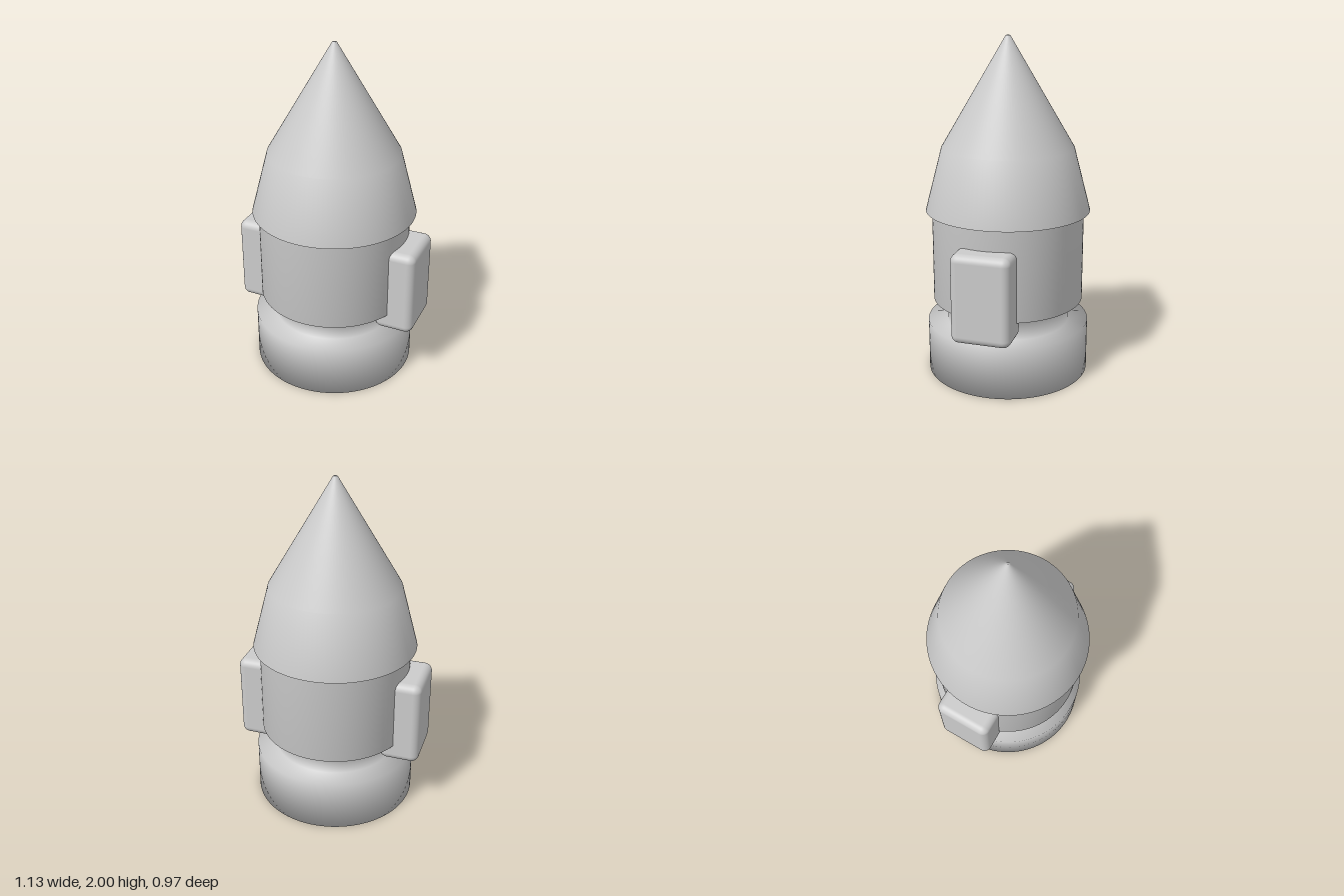
import * as THREE from 'three';
import { RoundedBoxGeometry } from 'three/addons/geometries/RoundedBoxGeometry.js';

export function createModel() {
  const group = new THREE.Group();
  const material = new THREE.MeshStandardMaterial({ color: 0xcccccc });

  // Hull: base disc, neck, body and nose cone in one smooth revolved profile
  const profile = [
    [0, 0], [0.484, 0], [0.484, 0.31], // base
    [0.366, 0.31], [0.366, 0.45],      // neck
    [0.448, 0.45], [0.448, 0.995],     // body
    [0.484, 0.995], [0.387, 1.365],    // nose skirt
    [0.013, 2], [0, 2],                // tip
  ].map(([r, y]) => new THREE.Vector2(r, y));
  const hull = new THREE.Mesh(new THREE.LatheGeometry(profile, 96), material);
  hull.name = 'hull';
  group.add(hull);

  // Rounded side pods, mirrored left and right
  const podGeometry = new RoundedBoxGeometry(0.235, 0.522, 0.346, 5, 0.045);
  for (const [name, side] of [['leftPod', 1], ['rightPod', -1]]) {
    const pod = new THREE.Mesh(podGeometry, material);
    pod.name = name;
    pod.position.set(side * 0.4455, 0.606, 0);
    group.add(pod);
  }
  return group;
}
